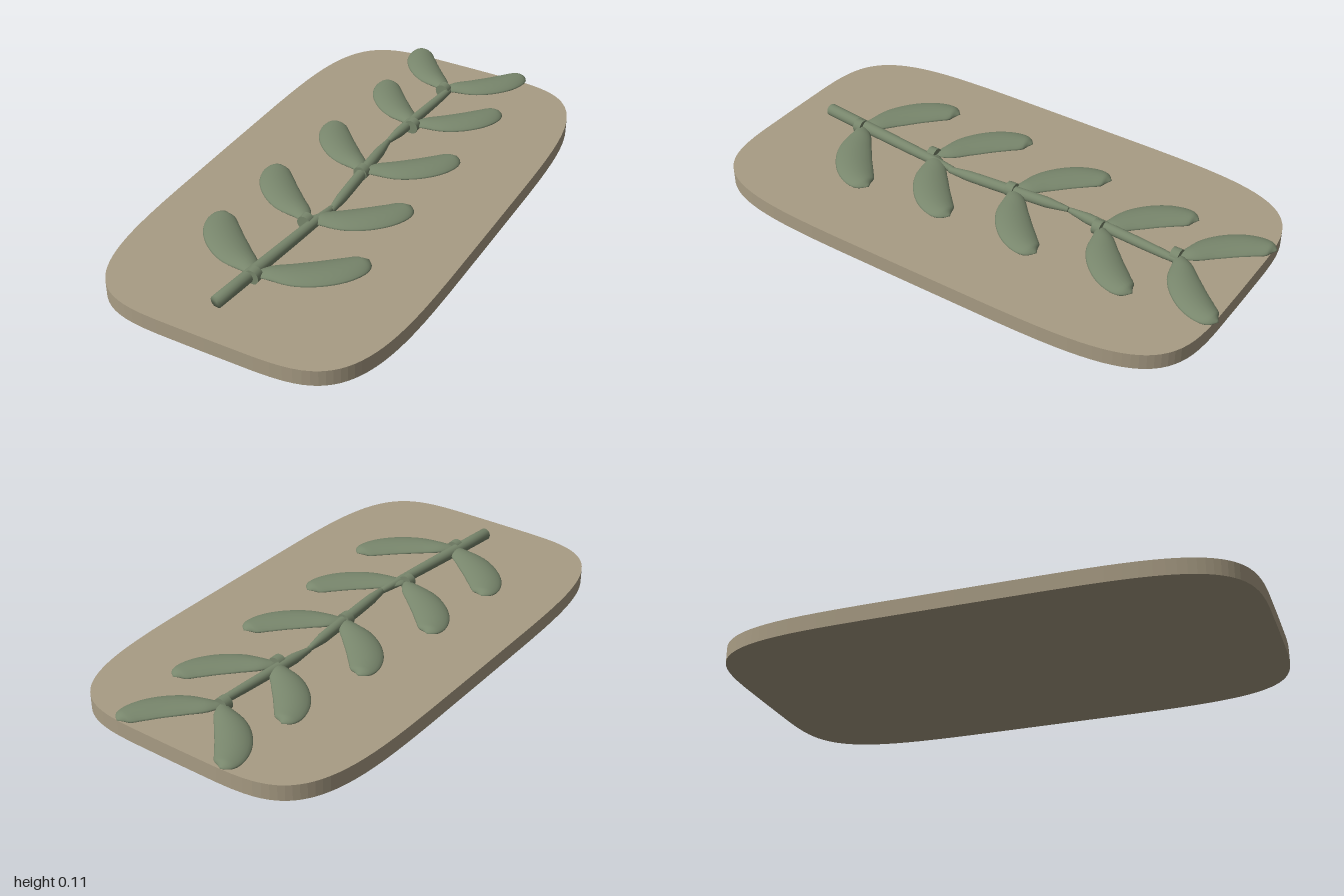
import * as THREE from 'three';
import { mergeVertices } from 'three/addons/utils/BufferGeometryUtils.js';

const stone = new THREE.MeshStandardMaterial({ color: 0xa89c84 });
const green = new THREE.MeshStandardMaterial({ color: 0x78866c });

function part(name, geometry, material) {
  const mesh = new THREE.Mesh(geometry, material);
  mesh.name = name;
  return mesh;
}

// Slab with a superellipse outline
function slabGeometry() {
  const points = [];
  const power = (v) => Math.sign(v) * Math.abs(v) ** (2 / 5);
  for (let i = 0; i < 96; i++) {
    const a = (i / 96) * Math.PI * 2;
    points.push(new THREE.Vector2(0.555 * power(Math.cos(a)), 0.9935 * power(Math.sin(a))));
  }
  return new THREE.ExtrudeGeometry(new THREE.Shape(points), { depth: 0.06, bevelEnabled: false })
    .rotateX(-Math.PI / 2).translate(0, 0, 0.0065);
}

// Round rod between two points, its radius following a short list
function rodGeometry(from, to, radii) {
  const dir = to.clone().sub(from);
  const length = dir.length();
  const last = radii.length - 1;
  const profile = [new THREE.Vector2(0, 0)];
  radii.forEach((r, i) => profile.push(new THREE.Vector2(r, (length * i) / last)));
  profile.push(new THREE.Vector2(0, length));
  const turn = new THREE.Quaternion().setFromUnitVectors(new THREE.Vector3(0, 1, 0), dir.normalize());
  return new THREE.LatheGeometry(profile, 16).applyQuaternion(turn).translate(from.x, from.y, from.z);
}

// Leaf centre line: x outward, y forward along the stem, z half width
const leafLine = new THREE.CatmullRomCurve3([
  [0, 0.021, 0.014], [0.053, 0.056, 0.042], [0.127, 0.09, 0.063], [0.201, 0.143, 0.069],
  [0.254, 0.201, 0.063], [0.283, 0.254, 0.044], [0.291, 0.286, 0],
].map((p) => new THREE.Vector3(...p)));

// Sphere stretched along the curved centre line into a thin cupped leaf
function leafGeometry(side, angle, size) {
  const sphere = new THREE.SphereGeometry(1, 20, 28).rotateZ(-Math.PI / 2);
  sphere.deleteAttribute('uv');
  sphere.deleteAttribute('normal');
  const geometry = mergeVertices(sphere, 1e-4);
  const pos = geometry.attributes.position;
  for (let i = 0; i < pos.count; i++) {
    const t = 1 - Math.acos(THREE.MathUtils.clamp(pos.getX(i), -1, 1)) / Math.PI;
    const ring = Math.hypot(pos.getY(i), pos.getZ(i)) || 1;
    const up = pos.getY(i) / ring;
    const across = (-side * pos.getZ(i)) / ring;
    const c = leafLine.getPoint(t);
    const tan = leafLine.getTangent(t);
    const l = Math.hypot(tan.x, tan.y);
    const w = Math.max(c.z, 0);
    const u = c.x - (tan.y / l) * w * across;
    const v = c.y + (tan.x / l) * w * across;
    const thick = 0.012 * Math.min(1, w / 0.04);
    const y = 0.088 + 0.006 * Math.sin(Math.PI * t) - 0.007 * t ** 3
      + thick * up - 0.17 * w * across * across;
    pos.setXYZ(i,
      side * size * (u * Math.cos(angle) - v * Math.sin(angle)),
      y,
      -size * (u * Math.sin(angle) + v * Math.cos(angle)));
  }
  geometry.computeVertexNormals();
  return geometry;
}

export function createModel() {
  const model = new THREE.Group();
  model.name = 'branchPlaque';
  model.add(part('slab', slabGeometry(), stone));

  // Three slightly offset stem lengths with tapered ends
  const stems = [
    [-0.048, 0.85, 0.018, 0.21, [0.024, 0.024, 0.023, 0.022, 0.021, 0.019, 0.012]],
    [0.022, 0.22, -0.015, -0.28, [0.012, 0.02, 0.021, 0.021, 0.021, 0.02, 0.01]],
    [-0.017, -0.285, 0.022, -0.77, [0.01, 0.02, 0.02, 0.019, 0.018, 0.016, 0.01]],
  ];
  for (const [x0, z0, x1, z1, radii] of stems) {
    model.add(part('stem', rodGeometry(
      new THREE.Vector3(x0, 0.082, z0), new THREE.Vector3(x1, 0.084, z1), radii), green));
  }

  // Leaf pairs, each with a collar; later pairs are smaller and more upright
  const nodes = [[-0.015, 0.675], [-0.02, 0.325], [0, -0.045], [0.015, -0.425], [0, -0.73]];
  nodes.forEach(([x, z], i) => {
    const pair = new THREE.Group();
    pair.name = 'leafPair';
    pair.position.set(x, 0, z);
    const collar = part('collar', new THREE.CylinderGeometry(0.028, 0.028, 0.032, 16).rotateX(Math.PI / 2), green);
    collar.position.y = 0.086;
    pair.add(collar);
    for (const side of [1, -1]) {
      const leaf = part(side > 0 ? 'leftLeaf' : 'rightLeaf',
        leafGeometry(side, i * 0.035, 1 - 0.025 * i), green);
      leaf.position.z = 0.015;
      pair.add(leaf);
    }
    model.add(pair);
  });
  return model;
}
